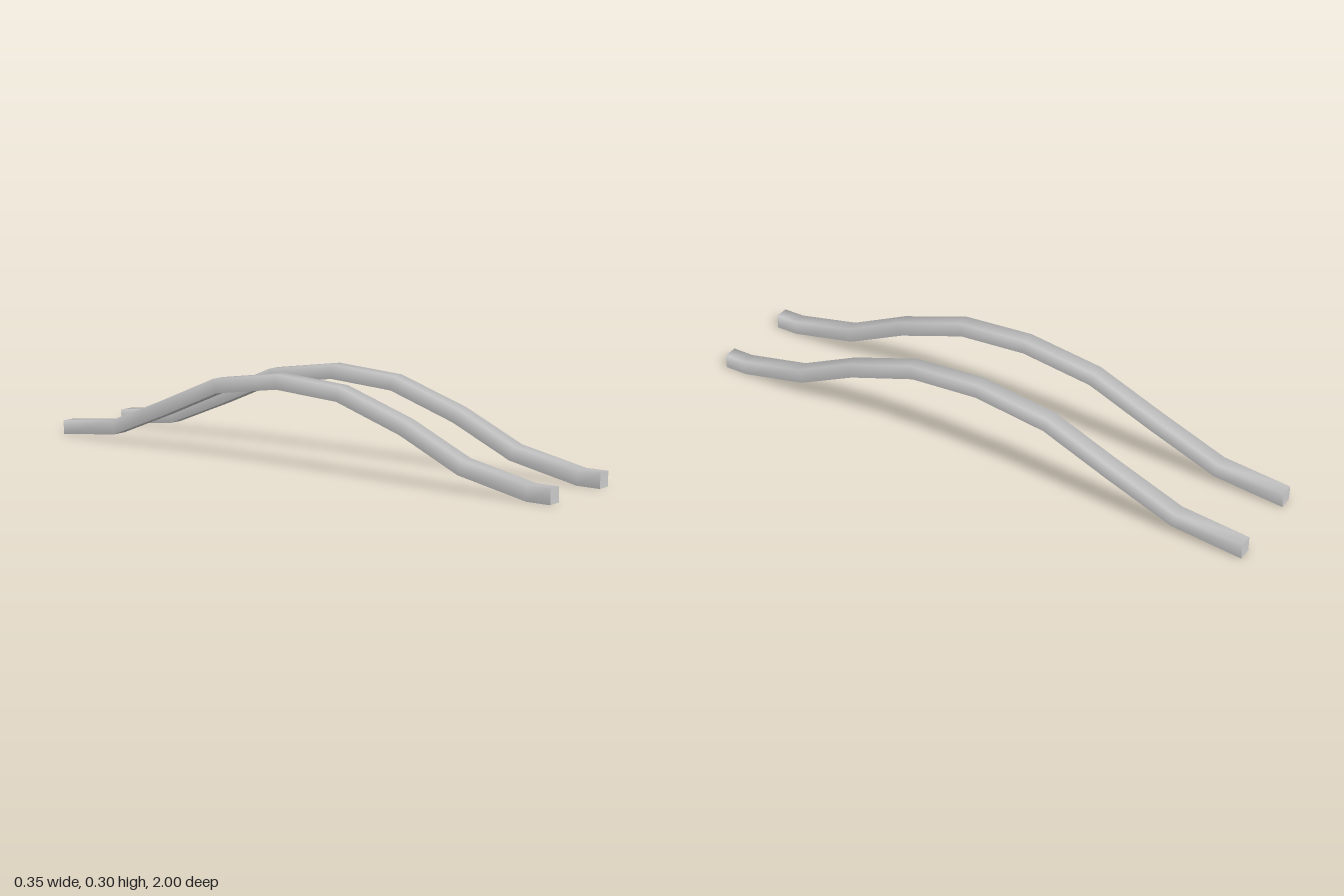
import * as THREE from 'three';

const HALF = 0.025; // half the width of the square bar

// Centre line of a rail as [z, y], from front to back
const PATH = [
  [1, 0.025], [0.92, 0.025], [0.68, 0.075], [0.465, 0.175], [0.215, 0.258],
  [-0.035, 0.275], [-0.295, 0.238], [-0.53, 0.14], [-0.76, 0.05], [-1, 0.025],
];

// Square cross-sections, mitred at every bend, upright at both ends
function crossSections() {
  const points = PATH.map(([z, y]) => new THREE.Vector2(z, y));
  return points.map((p, i) => {
    const up = new THREE.Vector2(0, 1);
    if (i > 0 && i < points.length - 1) {
      const a = p.clone().sub(points[i - 1]).normalize();
      const b = points[i + 1].clone().sub(p).normalize();
      const t = a.add(b).normalize();
      up.set(t.y, -t.x);
    }
    up.multiplyScalar(HALF);
    return [[-1, -1], [-1, 1], [1, 1], [1, -1]].map(([sx, sy]) =>
      [sx * HALF, p.y + sy * up.y, p.x + sy * up.x]);
  });
}

// Skin stretched over rows of points
function skin(rows) {
  const n = rows[0].length;
  const index = [];
  for (let i = 0; i < rows.length - 1; i++) {
    for (let j = 0; j < n - 1; j++) {
      const a = i * n + j, b = a + 1, c = a + n, d = c + 1;
      index.push(a, b, c, b, d, c);
    }
  }
  const geometry = new THREE.BufferGeometry();
  geometry.setAttribute('position', new THREE.Float32BufferAttribute(rows.flat(2), 3));
  geometry.setIndex(index);
  geometry.computeVertexNormals();
  return geometry;
}

export function createModel() {
  const model = new THREE.Group();
  model.name = 'curvedRails';
  const material = new THREE.MeshStandardMaterial({ color: 0xcccccc });

  const rows = crossSections();
  const [front, back] = [rows[0], rows[rows.length - 1]];
  const parts = {
    // top and sides share smooth normals, the underside and ends are crisp
    topAndSides: skin(rows),
    underside: skin(rows.map((r) => [r[3], r[0]])),
    frontEnd: skin([[front[1], front[0]], [front[2], front[3]]].map((r) => r.reverse()).reverse()),
    backEnd: skin([[back[1], back[0]], [back[2], back[3]]].map((r) => r.reverse())),
  };

  // Pair of matching rails
  for (const side of [1, -1]) {
    const rail = new THREE.Group();
    rail.name = side > 0 ? 'leftRail' : 'rightRail';
    for (const [name, geometry] of Object.entries(parts)) {
      const mesh = new THREE.Mesh(geometry, material);
      mesh.name = name;
      rail.add(mesh);
    }
    rail.position.x = side * 0.15;
    model.add(rail);
  }
  return model;
}
